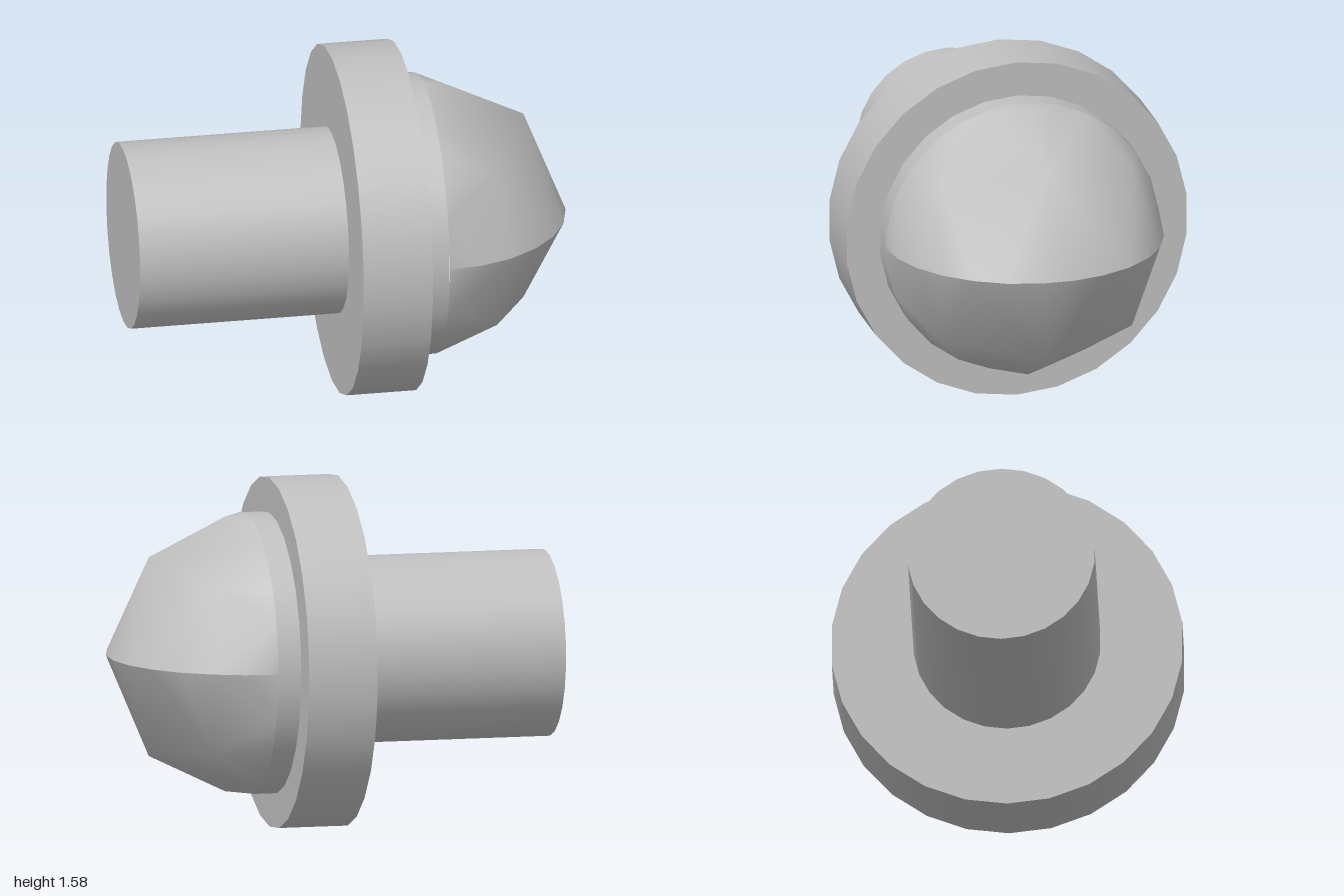
import * as THREE from 'three';
import { mergeVertices } from 'three/addons/utils/BufferGeometryUtils.js';
import { ConvexGeometry } from 'three/addons/geometries/ConvexGeometry.js';

const SIDES = 26, AXIS_Y = 0.79, DOME_R = 0.633, DOME_X = 0.37;

// Cylinder lying along x, with a corner at the top
function disc(name, radius, x0, x1, material) {
  const geo = new THREE.CylinderGeometry(radius, radius, x1 - x0, SIDES, 1, false, Math.PI / 2);
  geo.rotateZ(-Math.PI / 2);
  const mesh = new THREE.Mesh(geo, material);
  mesh.name = name;
  mesh.position.set((x0 + x1) / 2, AXIS_Y, 0);
  return mesh;
}

// Upper half of the coarse dome: round equator and rim, few points between
function halfDomeGeometry() {
  const points = [];
  const step = Math.PI / 13;
  for (let i = 0; i <= 13; i++) {
    const a = -Math.PI / 2 + i * step;
    points.push(new THREE.Vector3(DOME_R * Math.cos(a), 0, DOME_R * Math.sin(a)));
  }
  for (let i = -6; i <= 6; i++) {
    points.push(new THREE.Vector3(0, DOME_R * Math.cos(i * step), DOME_R * Math.sin(i * step)));
  }
  points.push(new THREE.Vector3(0.45, 0.45, 0), new THREE.Vector3(0.1, 0.622, 0));
  for (const s of [-1, 1]) points.push(new THREE.Vector3(0.25, 0.375, s * 0.442));

  // Drop the flat faces that close the hull at the equator and the rim
  const hull = new ConvexGeometry(points).getAttribute('position');
  const kept = [];
  for (let i = 0; i < hull.count; i += 3) {
    const ids = [i, i + 1, i + 2];
    if (ids.every(k => Math.abs(hull.getY(k)) < 1e-4)) continue;
    if (ids.every(k => Math.abs(hull.getX(k)) < 1e-4)) continue;
    for (const k of ids) kept.push(hull.getX(k), hull.getY(k), hull.getZ(k));
  }
  let geo = new THREE.BufferGeometry();
  geo.setAttribute('position', new THREE.Float32BufferAttribute(kept, 3));
  geo = mergeVertices(geo);
  geo.computeVertexNormals();
  return geo;
}

export function createModel() {
  const model = new THREE.Group();
  model.name = 'domedPin';
  const grey = new THREE.MeshStandardMaterial({ color: 0xbfbfbf });
  grey.name = 'plain grey';

  model.add(disc('shaft', 0.42, -1, -0.05, grey));
  model.add(disc('flange', 0.79, -0.05, 0.265, grey));
  model.add(disc('domeCollar', DOME_R, 0.265, DOME_X, grey));

  // Dome halves meet in a crease at the equator
  const geo = halfDomeGeometry();
  for (const [name, turn] of [['upperDome', 0], ['lowerDome', Math.PI]]) {
    const half = new THREE.Mesh(geo, grey);
    half.name = name;
    half.position.set(DOME_X, AXIS_Y, 0);
    half.rotation.x = turn;
    model.add(half);
  }
  return model;
}
